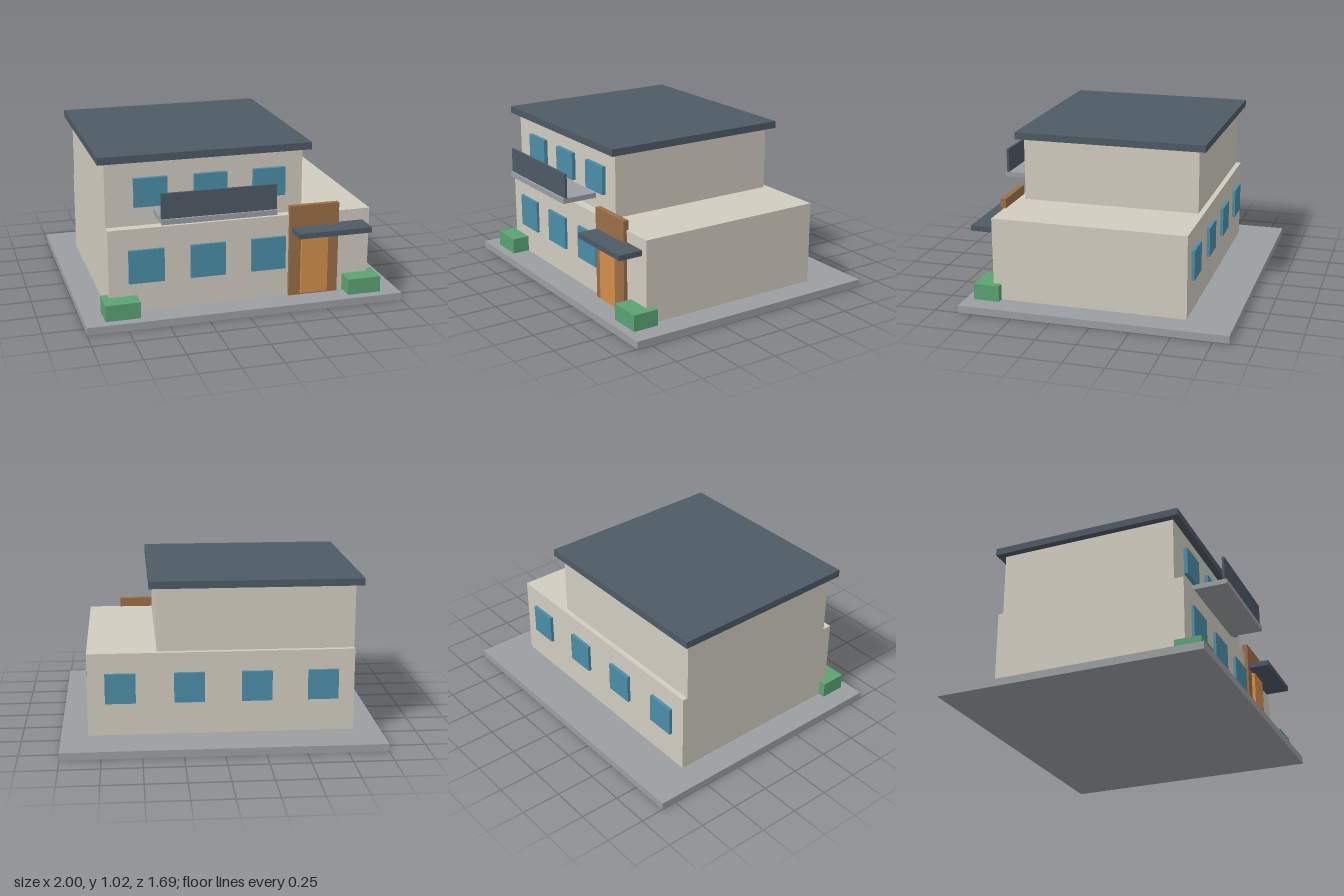
import * as THREE from 'three';

const mat = (color) => new THREE.MeshStandardMaterial({ color });

export function createModel() {
  const house = new THREE.Group();
  house.name = 'house';
  const wall = mat(0xd1ccc0), slate = mat(0x4e5a65), concrete = mat(0x9b9fa2);
  const glass = mat(0x4a8ea8), wood = mat(0x9c6f47), doorWood = mat(0xd38f4b), leaf = mat(0x5ba372);

  // Box given by its extents on each axis
  const block = (name, material, [x0, x1], [y0, y1], [z0, z1]) => {
    const mesh = new THREE.Mesh(new THREE.BoxGeometry(x1 - x0, y1 - y0, z1 - z0), material);
    mesh.position.set((x0 + x1) / 2, (y0 + y1) / 2, (z0 + z1) / 2);
    mesh.name = name;
    house.add(mesh);
  };
  // Row of equal windows starting at each left edge
  const windows = (name, edges, width, y, z) =>
    edges.forEach((x) => block(name, glass, [x, x + width], y, z));

  // Plot and storeys
  block('groundSlab', concrete, [-1, 1], [0, 0.047], [-0.847, 0.847]);
  block('lowerStorey', wall, [-0.832, 0.832], [0.047, 0.572], [-0.555, 0.675]);
  block('upperStorey', wall, [-0.832, 0.4], [0.572, 0.975], [-0.522, 0.615]);
  block('roof', slate, [-0.877, 0.444], [0.975, 1.02], [-0.57, 0.661]);

  // Windows
  windows('lowerWindow', [-0.71, -0.326, 0.058], 0.22, [0.23, 0.44], [0.66, 0.692]);
  windows('upperWindow', [-0.66, -0.29, 0.08], 0.205, [0.692, 0.87], [0.6, 0.64]);
  windows('backWindow', [-0.73, -0.315, 0.105, 0.533], 0.19, [0.255, 0.445], [-0.575, -0.54]);

  // Balcony
  block('balconySlab', concrete, [-0.54, 0.166], [0.64, 0.672], [0.61, 0.845]);
  block('balconyRail', slate, [-0.54, 0.166], [0.672, 0.827], [0.817, 0.832]);

  // Entrance
  block('entrancePanel', wood, [0.3, 0.62], [0.047, 0.632], [0.663, 0.698]);
  block('door', doorWood, [0.374, 0.546], [0.063, 0.45], [0.68, 0.718]);
  block('canopy', slate, [0.315, 0.787], [0.464, 0.498], [0.675, 0.831]);

  // Hedges, one at each front corner
  for (const s of [-1, 1])
    block('hedge', leaf, s < 0 ? [-0.877, -0.662] : [0.662, 0.877], [0.047, 0.149], [0.625, 0.79]);

  return house;
}
